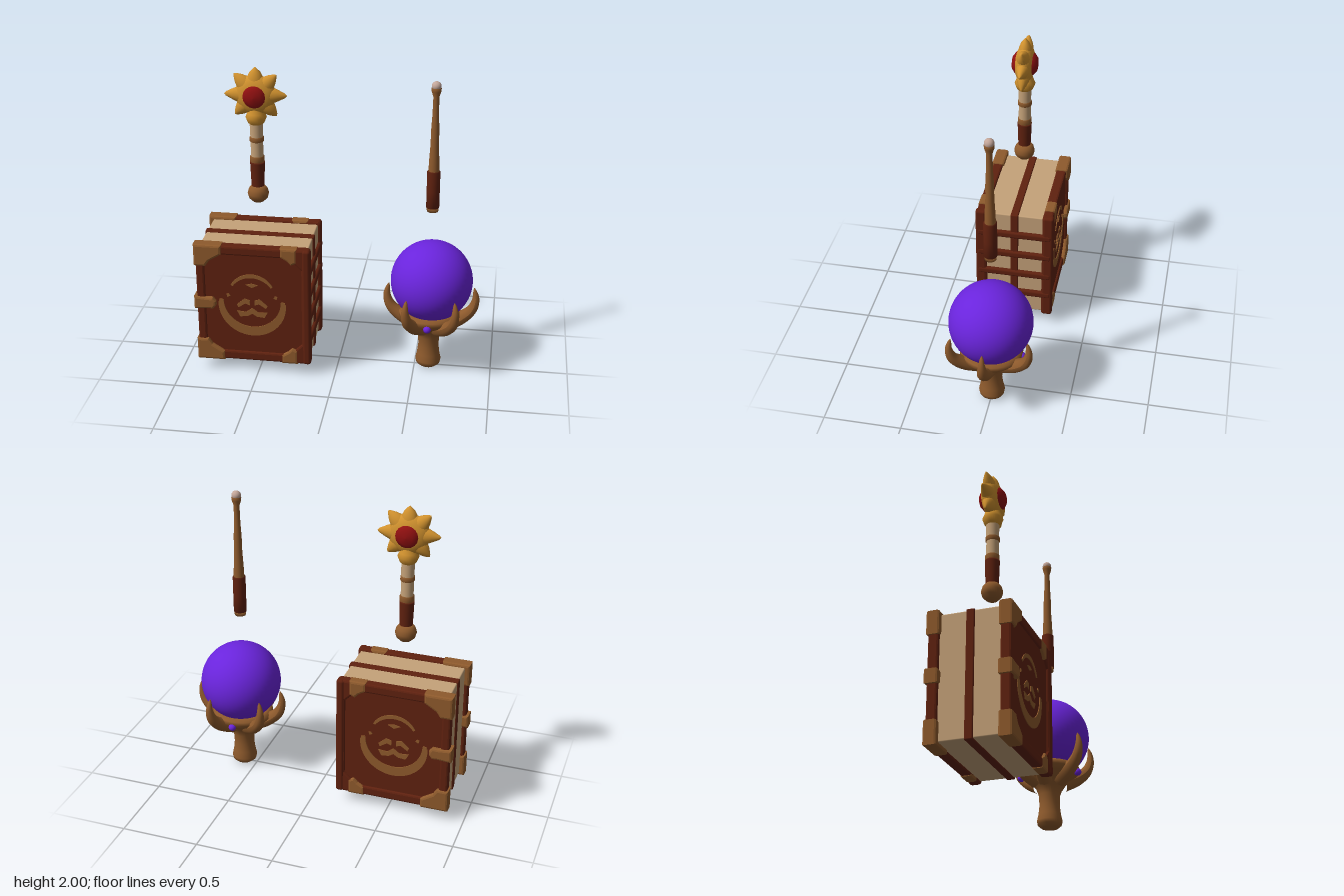
import * as THREE from 'three';
import { RoundedBoxGeometry } from 'three/addons/geometries/RoundedBoxGeometry.js';

const mat = (name, color, side = THREE.FrontSide) => {
  const m = new THREE.MeshStandardMaterial({ color, side });
  m.name = name;
  return m;
};

const V2 = (p) => new THREE.Vector2(p[0], p[1]);

export function createModel() {
  const leather = mat('dark red leather', 0x5f210f);
  const brown = mat('brown wood', 0x8e5a2c);
  const paper = mat('parchment', 0xc5a279);
  const gold = mat('gold', 0xd0912e);
  const ruby = mat('ruby', 0x8f1010);
  const purple = mat('purple glass', 0x6a24dc);
  const pale = mat('pale crystal', 0xc4a79a);

  const root = new THREE.Group();
  const group = (name, x = 0, y = 0, z = 0) => {
    const g = new THREE.Group();
    g.name = name;
    g.position.set(x, y, z);
    root.add(g);
    return g;
  };
  const add = (parent, name, geo, m, x = 0, y = 0, z = 0) => {
    const mesh = new THREE.Mesh(geo, m);
    mesh.name = name;
    mesh.position.set(x, y, z);
    parent.add(mesh);
    return mesh;
  };
  const lathe = (pts, n = 28) => new THREE.LatheGeometry(pts.map(V2), n);
  // box given by its min and max corners
  const box = (parent, name, m, a, b, r = 0.008) => add(parent, name,
    new RoundedBoxGeometry(b[0] - a[0], b[1] - a[1], b[2] - a[2], 2, r), m,
    (a[0] + b[0]) / 2, (a[1] + b[1]) / 2, (a[2] + b[2]) / 2);
  // plate centred on z = 0, bevelled inside its outline
  const plate = (shape, depth, bevel = 0) => {
    const g = new THREE.ExtrudeGeometry(shape, {
      depth: depth - 2 * bevel, bevelEnabled: bevel > 0, bevelThickness: bevel,
      bevelSize: bevel, bevelOffset: -bevel, bevelSegments: 2, curveSegments: 24 });
    return g.translate(0, 0, -depth / 2 + bevel);
  };
  const chamfered = (x0, y0, x1, y1, c) => [
    [x0 + c, y0], [x1 - c, y0], [x1, y0 + c], [x1, y1 - c],
    [x1 - c, y1], [x0 + c, y1], [x0, y1 - c], [x0, y0 + c]].map(V2);

  // ---- Book ----
  const book = group('book');
  const midY = 0.49;
  box(book, 'pages', paper, [-0.868, 0.098, -0.195], [-0.172, 0.882, 0.195]);
  box(book, 'pageBand', leather, [-0.876, 0.09, -0.026], [-0.162, 0.89, 0.026]);
  for (let i = 0; i < 4; i++) {
    const y = 0.25 + i * 0.16;
    box(book, 'spineBand', leather, [-0.2, y - 0.025, -0.25], [-0.15, y + 0.025, 0.25], 0.016);
  }

  // emblem pieces, drawn around the middle of the cover
  const crescent = new THREE.Shape();
  crescent.absarc(0, 0, 0.22, Math.PI * 0.98, Math.PI * 2.02, false);
  crescent.absarc(0, 0.03, 0.186, Math.PI * 2, Math.PI, true);
  const brow = new THREE.Shape();
  brow.absarc(0, 0.065, 0.155, 0.5, Math.PI - 0.5, false);
  brow.absarc(0, 0.045, 0.15, Math.PI - 0.6, 0.6, true);
  const eye = new THREE.Shape([[-0.04, 0.145], [0, 0.125], [0.04, 0.145], [0, 0.155]].map(V2));
  const emblem = [crescent, brow, eye];
  for (const s of [-1, 1]) {
    const half = [
      [[0.015, 0.035], [0.05, 0.045], [0.1, 0.0], [0.09, -0.02], [0.045, 0.01], [0.015, 0.0]],
      [[0, -0.02], [0.04, -0.05], [0.1, -0.045], [0.08, -0.085], [0.03, -0.08], [0, -0.06]],
      [[0.14, 0.06], [0.16, 0.05], [0.165, 0.07], [0.15, 0.075]],
      [[0.19, 0.035], [0.215, 0.03], [0.205, -0.04], [0.18, -0.03]],
    ];
    for (const p of half) emblem.push(new THREE.Shape(p.map(([x, y]) => V2([x * s, y]))));
  }

  const rim = new THREE.Shape(chamfered(-0.89, 0.083, -0.155, 0.897, 0.015));
  rim.holes.push(new THREE.Path(chamfered(-0.835, 0.145, -0.21, 0.835, 0.08)));
  const foreCorner = [[-0.9, 0.412], [-0.72, 0.412], [-0.72, 0.35], [-0.8, 0.3], [-0.825, 0.262], [-0.9, 0.262]];
  const spineCorner = [[-0.345, 0.412], [-0.238, 0.412], [-0.238, 0.315], [-0.275, 0.298], [-0.3, 0.325], [-0.345, 0.352]];
  const clasp = [[-0.908, -0.045], [-0.82, -0.038], [-0.785, -0.04], [-0.765, -0.015],
    [-0.765, 0.015], [-0.785, 0.04], [-0.82, 0.038], [-0.908, 0.045]];

  for (const s of [-1, 1]) {
    const cover = s > 0 ? 'front' : 'back';
    box(book, cover + 'Cover', leather, [-0.885, 0.09, s * 0.213 - 0.025], [-0.16, 0.89, s * 0.213 + 0.025]);
    add(book, cover + 'CoverRim', plate(rim, 0.066, 0.012), leather, 0, 0, s * 0.22);
    box(book, cover + 'Hinge', leather, [-0.205, 0.082, s * 0.225 - 0.036], [-0.153, 0.898, s * 0.225 + 0.036], 0.018);
    for (const shape of emblem)
      add(book, cover + 'Emblem', plate(shape, 0.006), brown, -0.532, 0.485, s * 0.24);
    for (const t of [-1, 1]) for (const [name, pts] of [['ForeCorner', foreCorner], ['SpineCorner', spineCorner]]) {
      const shape = new THREE.Shape(pts.map(([x, y]) => V2([x, y * t])));
      const deep = name === 'ForeCorner' ? 0.086 : 0.07;
      add(book, cover + name, plate(shape, deep, 0.014), brown, 0, midY, s * 0.222);
    }
    add(book, cover + 'Clasp', plate(new THREE.Shape(clasp.map(V2)), 0.09, 0.014), brown, 0, midY, s * 0.222);
  }

  // ---- Sceptre ----
  const sceptre = group('sceptre', -0.522, 0, 0);
  add(sceptre, 'pommel', lathe([[0, 1.11], [0.035, 1.115], [0.06, 1.14], [0.068, 1.17], [0.06, 1.2], [0.042, 1.222], [0, 1.222]]), brown);
  add(sceptre, 'grip', lathe([[0.04, 1.21], [0.043, 1.28], [0.046, 1.375], [0.046, 1.385], [0, 1.385]]), leather);
  add(sceptre, 'shaft', lathe([[0.04, 1.38], [0.039, 1.5], [0.042, 1.66]]), paper);
  for (const [y, h] of [[1.402, 0.045], [1.535, 0.036]])
    add(sceptre, 'shaftRing', lathe([[0.038, -h / 2], [0.045, -h / 2 + 0.006], [0.045, h / 2 - 0.006], [0.038, h / 2]]), brown, 0, y, 0);
  add(sceptre, 'collar', lathe([[0.035, 1.63], [0.052, 1.645], [0.066, 1.68], [0.056, 1.705], [0.045, 1.74]]), gold);
  const starY = 1.822;
  add(sceptre, 'starBody', new THREE.SphereGeometry(0.128, 32, 20).scale(1, 1, 0.5), gold, 0, starY, 0);
  for (let i = 0; i < 8; i++) {
    const len = i % 2 ? 0.187 : i === 0 ? 0.178 : 0.197;
    const spike = lathe([[0.056, 0.07], [0.05, 0.11], [0.034, 0.145], [0.014, len - 0.012], [0, len]], 16);
    add(sceptre, 'starPoint', spike.scale(1, 1, 0.8), gold, 0, starY, 0).rotation.z = i * Math.PI / 4;
  }
  for (const s of [-1, 1]) {
    const gem = add(sceptre, 'ruby', lathe([[0.074, 0.035], [0.07, 0.058], [0.042, 0.079], [0, 0.083]], 16), ruby, 0, starY, 0);
    gem.rotation.x = s * Math.PI / 2;
  }

  // ---- Wand ----
  const wand = group('wand', 0.587, 0, 0);
  add(wand, 'buttCap', lathe([[0, 1.11], [0.036, 1.112], [0.038, 1.14], [0, 1.14]]), brown);
  add(wand, 'grip', lathe([[0, 1.136], [0.041, 1.138], [0.041, 1.25], [0.041, 1.378], [0.03, 1.385]]), leather);
  add(wand, 'shaft', lathe([[0.034, 1.38], [0.031, 1.46], [0.026, 1.55], [0.025, 1.65], [0.02, 1.75], [0.018, 1.86], [0.029, 1.895], [0.031, 1.915], [0.022, 1.925]]), brown);
  add(wand, 'tip', new THREE.SphereGeometry(0.03, 20, 14), pale, 0, 1.928, 0);

  // ---- Orb on a clawed stand ----
  const orb = group('orb', 0.597, 0, 0);
  add(orb, 'crystalBall', new THREE.SphereGeometry(0.263, 48, 32), purple, 0, 0.626, 0);
  const stand = lathe([[0, 0.005], [0.055, 0.01], [0.078, 0.03], [0.083, 0.055], [0.073, 0.1], [0.066, 0.16],
    [0.07, 0.23], [0.088, 0.28], [0.125, 0.32], [0.175, 0.355], [0.2, 0.385], [0.198, 0.41], [0.175, 0.425], [0.14, 0.42], [0, 0.36]], 32);
  add(orb, 'stand', stand, brown, -0.008, 0, 0);

  // tapered claw: a tube whose rings shrink towards the tip
  const path = new THREE.CatmullRomCurve3([[0.09, 0.32], [0.19, 0.365], [0.262, 0.43], [0.287, 0.51], [0.275, 0.59]]
    .map(([r, y]) => new THREE.Vector3(r, y, 0)));
  const segs = 20, sides = 12;
  const claw = new THREE.TubeGeometry(path, segs, 1, sides);
  const pos = claw.attributes.position, v = new THREE.Vector3();
  for (let i = 0; i <= segs; i++) {
    const c = path.getPointAt(i / segs);
    const r = 0.055 * Math.pow(1 - i / segs, 0.6) + 0.001;
    for (let j = 0; j <= sides; j++) {
      const k = i * (sides + 1) + j;
      v.fromBufferAttribute(pos, k).sub(c).multiplyScalar(r).add(c);
      pos.setXYZ(k, v.x, v.y, v.z);
    }
  }
  claw.computeVertexNormals();
  for (const deg of [0, 65, 137, 180, 239, 306])
    add(orb, 'claw', claw, brown).rotation.y = THREE.MathUtils.degToRad(deg);
  for (const s of [-1, 1])
    add(orb, 'standGem', new THREE.SphereGeometry(0.025, 16, 12), purple, -0.008, 0.37, s * 0.193);

  return root;
}
